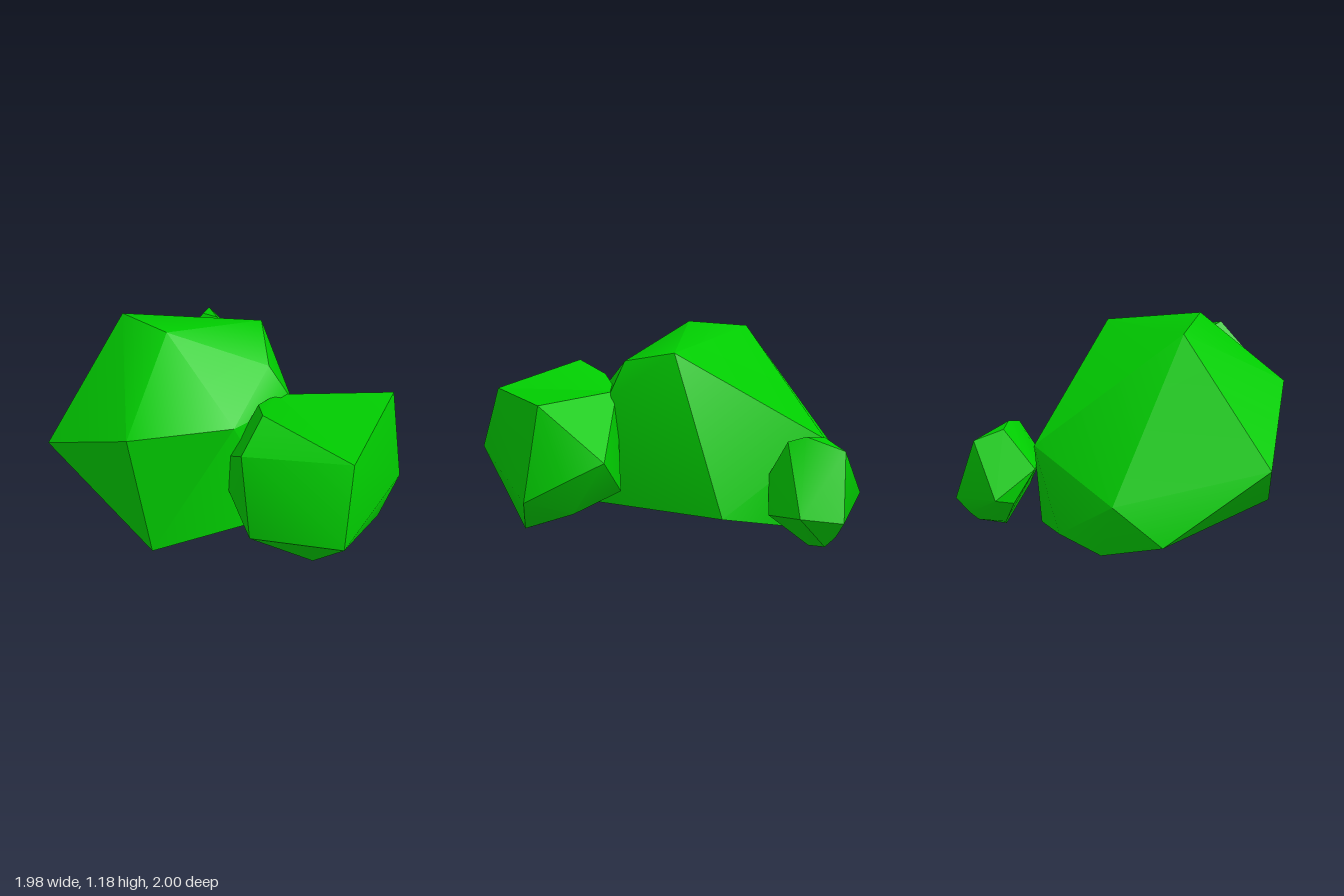
import * as THREE from 'three';
import { ConvexGeometry } from 'three/addons/geometries/ConvexGeometry.js';
import { toCreasedNormals } from 'three/addons/utils/BufferGeometryUtils.js';

// Each clump is a faceted convex lump spanned by its corner points (x, y, z).
const clumps = {
  largeClump: [
    // crown
    [-0.28, 1.18, 0.36], [-0.58, 1.15, 0.18], [0.14, 1.06, -0.06], [0.25, 0.99, 0.27],
    // girth
    [-0.38, 0.79, 0.82], [0.14, 0.81, 0.62], [-0.93, 0.49, 0.56], [-0.94, 0.38, -0.28],
    [-0.51, 0.58, -0.6], [0.38, 0.78, 0.26],
    // foot
    [-0.28, 0.03, 0.8], [0.4, 0.15, 0.47], [0.14, 0.2, -0.49], [-0.38, 0.08, -0.55],
    [-0.7, 0.15, -0.51], [-0.8, 0.05, -0.31], [-0.99, 0.15, -0.03],
  ],
  mediumClump: [
    // crown
    [0.79, 0.82, 0.79], [0.91, 0.82, 0.12], [0.3, 0.82, 0.28], [0.22, 0.79, 0.81],
    // girth
    [0.62, 0.5, -0.07], [0.83, 0.41, 0], [0.79, 0.44, 1], [0.11, 0.39, 0.62], [0.115, 0.62, 0.61],
    // foot
    [0.99, 0.29, 0.16], [0.9, 0.1, 0.31], [0.59, 0, 0.65], [0.28, 0.3, 0.87],
    [0.4, 0.28, 0.1], [0.72, 0.2, 0.09],
  ],
  // ridge rising from the medium clump, meeting it in a shallow valley
  mediumClumpPeak: [
    [0.3, 0.96, 0.67], [0.24, 0.89, 0.49], [0.79, 0.82, 0.79], [0.3, 0.82, 0.28],
    [0.22, 0.79, 0.81], [0.115, 0.62, 0.61], [0.28, 0.3, 0.87], [0.79, 0.44, 1],
  ],
  smallClump: [
    // crown
    [-0.37, 0.63, -0.74], [-0.27, 0.64, -0.7], [-0.2, 0.61, -0.63], [-0.37, 0.58, -0.9],
    // girth
    [-0.52, 0.45, -0.6], [-0.57, 0.31, -0.82], [-0.55, 0.28, -0.72], [-0.16, 0.41, -0.52],
    [-0.32, 0.42, -0.54],
    // foot
    [-0.05, 0.26, -0.9], [-0.27, 0.22, -1], [-0.28, 0.13, -0.93], [-0.12, 0.2, -0.57],
    [-0.27, 0.04, -0.73], [-0.25, 0.07, -0.88], [-0.42, 0.12, -0.75],
  ],
};

export function createModel() {
  const group = new THREE.Group();
  const material = new THREE.MeshStandardMaterial({ color: 0x00cc00 });
  for (const [name, corners] of Object.entries(clumps)) {
    const hull = new ConvexGeometry(corners.map((c) => new THREE.Vector3(...c)));
    // Shallow edges are blended, steep ones stay sharp.
    const mesh = new THREE.Mesh(toCreasedNormals(hull, 0.65), material);
    mesh.name = name;
    group.add(mesh);
  }
  return group;
}
